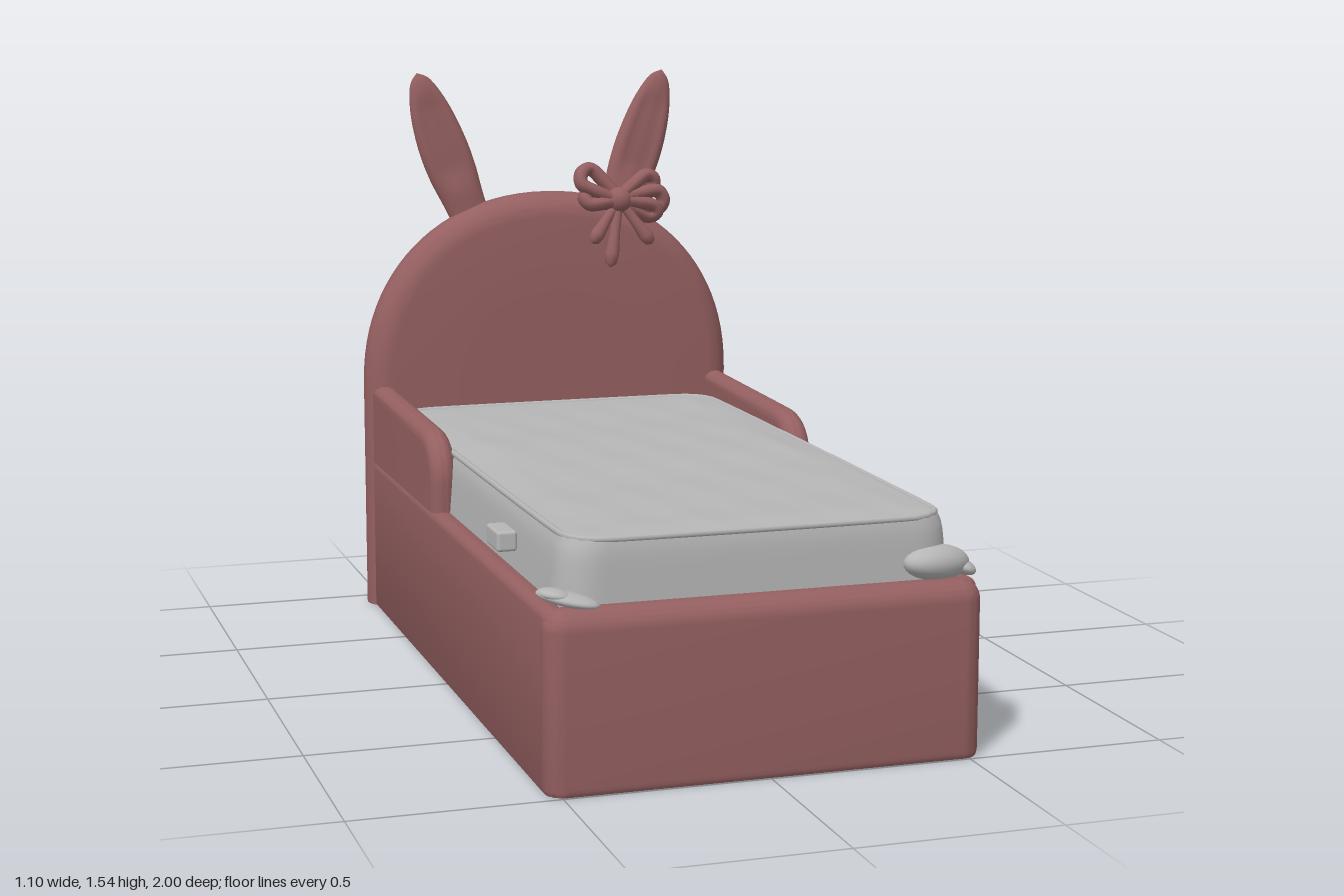
import * as THREE from 'three';
import { mergeVertices, toCreasedNormals } from 'three/addons/utils/BufferGeometryUtils.js';
import { RoundedBoxGeometry } from 'three/addons/geometries/RoundedBoxGeometry.js';

const V = (x, y, z) => new THREE.Vector3(x, y, z);

export function createModel() {
  const model = new THREE.Group();
  model.name = 'bunnyBed';
  const rose = new THREE.MeshStandardMaterial({ color: 0x945f60 });
  rose.name = 'dustyRose';
  const grey = new THREE.MeshStandardMaterial({ color: 0xb6b6b6 });
  grey.name = 'mattressGrey';

  function add(name, geometry, material, parent = model) {
    const mesh = new THREE.Mesh(geometry, material);
    mesh.name = name;
    parent.add(mesh);
    return mesh;
  }
  function box(name, w, h, d, x, y, z, r, material = rose) {
    return add(name, new RoundedBoxGeometry(w, h, d, 4, r), material).position.set(x, y, z);
  }
  function warp(g, rule) {
    const p = g.attributes.position, v = V(0, 0, 0);
    for (let i = 0; i < p.count; i++) {
      rule(v.fromBufferAttribute(p, i));
      p.setXYZ(i, v.x, v.y, v.z);
    }
    return g;
  }
  // Upright board standing on the floor, with a smaller rounding at the bottom
  function board(name, w, top, d, x, z, r) {
    const cut = r * 0.6;
    const g = new RoundedBoxGeometry(w, top + cut, d, 6, r).translate(x, (top - cut) / 2, z);
    add(name, toCreasedNormals(warp(g, (v) => { v.y = Math.max(v.y, 0); }), 0.6), rose);
  }
  // Padded panel: a shape extruded to a centred thickness with a round rim
  function padded(shape, thickness, r, inset = r, segments = 10) {
    return new THREE.ExtrudeGeometry(shape, {
      depth: thickness - 2 * r, bevelThickness: r, bevelSize: inset, bevelOffset: -inset,
      bevelSegments: segments, curveSegments: 40,
    }).translate(0, 0, r - thickness / 2);
  }

  // Arched headboard, slightly fuller than an ellipse, cut flat at the floor
  const arch = new THREE.Shape();
  arch.moveTo(-0.548, -0.45);
  arch.lineTo(0.548, -0.45);
  for (let i = 0; i <= 48; i++) {
    const a = Math.PI * i / 48, c = Math.cos(a), s = Math.sin(a);
    arch.lineTo(0.548 * Math.sign(c) * Math.abs(c) ** 0.94, 0.65 + 0.54 * Math.abs(s) ** 0.94);
  }
  arch.closePath();
  // The wide bevel becomes a tight round rim followed by a gentle dome
  const domeWidth = 0.3, rim = 0.065;
  const head = warp(padded(arch, 0.16, 0.075, domeWidth, 28), (v) => {
    const s = THREE.MathUtils.clamp((Math.abs(v.z) - 0.005) / 0.075, 0, 1);
    const u = domeWidth * (1 - Math.sqrt(1 - s * s));
    const dome = v.z > 0 ? 0.016 : 0.008;
    const edge = Math.sqrt(1 - (1 - Math.min(1, u / rim)) ** 2);
    v.z = Math.sign(v.z) * ((0.08 - dome) * edge + dome * Math.sin(u / domeWidth * Math.PI / 2));
    v.y = Math.max(v.y, 0);
  });
  add('headboard', toCreasedNormals(head, 0.6), rose).position.z = -0.92;

  // Open-bottomed base
  for (const s of [-1, 1]) {
    board(s < 0 ? 'rightSideRail' : 'leftSideRail', 0.06, 0.428, 1.86, s * 0.503, 0.03, 0.025);
  }
  board('footboard', 1.07, 0.43, 0.105, 0, 0.9475, 0.05);
  box('mattressSupport', 0.98, 0.02, 1.82, 0, 0.405, 0.03, 0.005);

  // Padded guard rails beside the pillow end
  const side = new THREE.Shape();
  side.moveTo(-0.9, 0.38);
  side.lineTo(-0.125, 0.38);
  side.lineTo(-0.125, 0.5);
  side.bezierCurveTo(-0.125, 0.57, -0.17, 0.63, -0.27, 0.633);
  side.lineTo(-0.9, 0.647);
  side.closePath();
  for (const s of [-1, 1]) {
    const g = warp(padded(side, 0.07, 0.034), (v) => { v.y = Math.max(v.y, 0.425); });
    const rail = add(s < 0 ? 'rightGuardRail' : 'leftGuardRail', toCreasedNormals(g, 0.6), rose);
    rail.rotation.y = -Math.PI / 2;
    rail.position.x = s * 0.499;
  }

  // Mattress: rounded corners, slight taper and a softly rippled top
  const hx = 0.488, hz = 0.89, hy = 0.083, cr = 0.09;
  let bed = new THREE.BoxGeometry(hx * 2, hy * 2, hz * 2, 48, 8, 90);
  bed.deleteAttribute('normal');
  bed.deleteAttribute('uv');
  bed = warp(mergeVertices(bed), (v) => {
    const qx = THREE.MathUtils.clamp(v.x, cr - hx, hx - cr);
    const qz = THREE.MathUtils.clamp(v.z, cr - hz, hz - cr);
    const dx = v.x - qx, dz = v.z - qz;
    if (dx && dz) {
      const k = Math.max(Math.abs(dx), Math.abs(dz)) / Math.hypot(dx, dz);
      v.x = qx + dx * k;
      v.z = qz + dz * k;
    }
    if (v.y > hy - 1e-4) {
      const edge = Math.min(1, 6 * (1 - Math.abs(v.x) / hx), 10 * (1 - Math.abs(v.z) / hz));
      const swell = 0.005 + 0.008 * Math.exp(-((v.z + 0.12) ** 2) * 10);
      v.y += Math.max(edge, 0) * (swell + 0.0015 * Math.sin(v.z * 17 + 4 * v.x) + 0.001 * Math.sin(v.x * 34 - v.z * 9));
    }
    const t = (v.y + hy) / (2 * hy);
    v.x *= 1 - 0.03 * t - 0.022 * t ** 8;
    v.z *= 1 - 0.008 * t ** 8;
  });
  add('mattress', toCreasedNormals(bed, 0.9), grey).position.set(0, 0.496, 0.05);

  // Piping around the top edge of the mattress
  const pw = 0.459, pd = 0.881, piping = [];
  for (let i = 0; i < 4; i++) {
    const sx = [1, -1, -1, 1][i], sz = [1, 1, -1, -1][i];
    for (let j = 0; j <= 6; j++) {
      const a = (i + j / 6) * Math.PI / 2;
      piping.push(V(sx * (pw - cr) + cr * Math.cos(a), 0.577, sz * (pd - cr) + cr * Math.sin(a) + 0.05));
    }
  }
  add('topPiping', new THREE.TubeGeometry(new THREE.CatmullRomCurve3(piping, true), 160, 0.008, 8, true), grey);

  // Fabric gathered at the front corners, and a side tab
  function flap(name, x, y, z, sx, sy, sz, rz, ry) {
    const m = add(name, new THREE.SphereGeometry(1, 24, 14), grey);
    m.position.set(x, y, z);
    m.scale.set(sx, sy, sz);
    m.rotation.set(0, ry, rz);
  }
  flap('leftCornerFold', 0.44, 0.463, 0.915, 0.1, 0.043, 0.055, -0.1, 0.4);
  flap('leftCornerTip', 0.512, 0.445, 0.885, 0.04, 0.02, 0.06, -0.4, 0);
  flap('rightCornerFold', -0.468, 0.445, 0.93, 0.075, 0.016, 0.04, -0.2, -0.4);
  flap('rightCornerTip', -0.495, 0.453, 0.915, 0.04, 0.016, 0.045, -0.2, 0.4);
  box('mattressTab', 0.05, 0.05, 0.11, -0.508, 0.497, 0.495, 0.008, grey);

  // Ears: flattened lathes with a shallow hollow in front
  const earLength = 0.48;
  const outline = new THREE.SplineCurve([[0.054, 0], [0.061, 0.09], [0.071, 0.18], [0.071, 0.27], [0.058, 0.37], [0.032, 0.45], [0, earLength]]
    .map(([r, y]) => new THREE.Vector2(r, y))).getPoints(36);
  outline[outline.length - 1].x = 0;
  for (const s of [-1, 1]) {
    const g = warp(new THREE.LatheGeometry(outline, 32), (v) => {
      const w = Math.hypot(v.x, v.z) + 1e-6;
      const hollow = THREE.MathUtils.smoothstep(v.y, 0.1, 0.2) * (1 - THREE.MathUtils.smoothstep(v.y, 0.36, 0.44));
      const middle = 1 - THREE.MathUtils.smoothstep(Math.abs(v.x) / w, 0.4, 0.8);
      v.z *= v.z > 0 ? 0.48 * (1 - 0.4 * hollow * middle) : 0.48;
      v.x += s * 0.004 * Math.sin(Math.PI * v.y / earLength);
    });
    g.computeVertexNormals();
    const ear = add(s < 0 ? 'rightEar' : 'leftEar', g, rose);
    ear.position.set(s < 0 ? -0.21 : 0.205, 1.085, -0.935);
    ear.rotation.set(-0.06, 0, -s * 0.345);
  }

  // Ribbon bow: broad teardrop loops, tapering tails and a knot
  const bow = new THREE.Group();
  bow.name = 'bow';
  bow.position.set(0.195, 1.165, -0.842);
  bow.rotation.x = -0.2;
  model.add(bow);
  const loops = [[-0.105, 0.082, 0.028], [-0.1, 0.01, 0.018], [0.112, 0.058, 0.022], [0.138, -0.005, 0.026], [0.115, -0.04, 0.014]];
  loops.forEach(([x, y, w], i) => {
    const l = Math.hypot(x, y), nx = -y / l * w, ny = x / l * w;
    const at = (t, k, z) => V(x * t + nx * k, y * t + ny * k, z);
    const curve = new THREE.CatmullRomCurve3([at(0, 0, 0), at(0.5, 0.8, 0.01), at(0.88, 1, 0.006),
      at(1, 0, 0), at(0.88, -1, -0.008), at(0.5, -0.8, -0.006)], true);
    const loop = add('bowLoop' + (i + 1), new THREE.TubeGeometry(curve, 48, 0.02, 10, true), rose, bow);
    loop.scale.z = 1.5;
  });
  const tails = [[-0.085, -0.118], [-0.037, -0.185], [0.088, -0.125]];
  tails.forEach(([x, y], i) => {
    const length = Math.hypot(x, y);
    const profile = [[0.013, 0], [0.015, 0.5], [0.021, 0.85], [0.016, 1], [0, 1.06]]
      .map(([r, t]) => new THREE.Vector2(r, t * length));
    const tail = add('bowTail' + (i + 1), new THREE.LatheGeometry(profile, 14), rose, bow);
    tail.position.z = 0.012;
    tail.rotation.z = Math.atan2(-x, y);
  });
  const knot = add('bowKnot', new THREE.SphereGeometry(1, 20, 14), rose, bow);
  knot.scale.set(0.04, 0.038, 0.04);
  knot.position.z = 0.01;

  return model;
}
